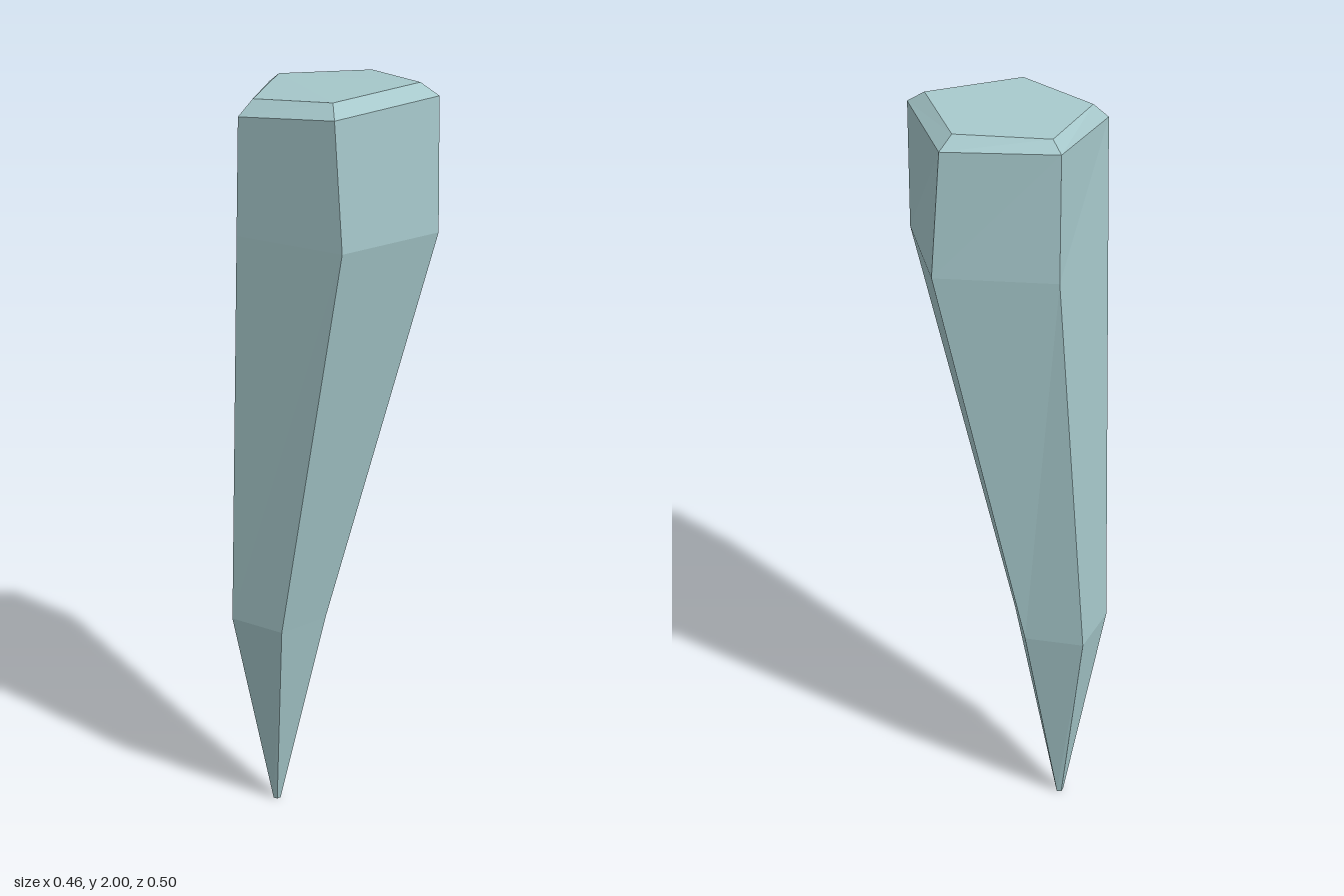
import * as THREE from 'three';

// Five-sided cross-sections, bottom to top; corners run left, front, front right, back right, back left
const tip = [[-0.12, 0, 0.09], [-0.113, 0, 0.1], [-0.102, 0, 0.096], [-0.102, 0, 0.084], [-0.113, 0, 0.08]];
const taper = [[-0.233, 0.575, 0.08], [-0.14, 0.575, 0.21], [0.01, 0.575, 0.163], [0.01, 0.575, 0.015], [-0.13, 0.575, -0.035]];
const shoulder = [[-0.233, 1.64, -0.005], [-0.055, 1.64, 0.239], [0.232, 1.64, 0.148], [0.232, 1.64, -0.157], [-0.057, 1.64, -0.25]];
const rim = [[-0.225, 1.957, 0], [-0.03, 1.935, 0.248], [0.22, 1.955, 0.162], [0.22, 1.97, -0.162], [-0.068, 1.955, -0.23]];
const crown = [[-0.187, 1.982, 0], [-0.025, 1.973, 0.207], [0.182, 1.987, 0.135], [0.182, 2, -0.135], [-0.057, 1.987, -0.19]];

// Joins consecutive rings with quads and optionally closes the ends
function loft(rings, capBottom, capTop) {
  const n = rings[0].length;
  const index = [];
  for (let r = 0; r < rings.length - 1; r++) {
    for (let i = 0; i < n; i++) {
      const a = r * n + i, b = r * n + (i + 1) % n;
      index.push(a, b, b + n, a, b + n, a + n);
    }
  }
  const top = (rings.length - 1) * n;
  for (let i = 1; i < n - 1; i++) {
    if (capBottom) index.push(0, i + 1, i);
    if (capTop) index.push(top, top + i, top + i + 1);
  }
  const geometry = new THREE.BufferGeometry();
  geometry.setAttribute('position', new THREE.Float32BufferAttribute(rings.flat(2), 3));
  geometry.setIndex(index);
  const faceted = geometry.toNonIndexed();
  faceted.computeVertexNormals();
  return faceted;
}

export function createModel() {
  const group = new THREE.Group();
  group.name = 'crystalSpike';
  const material = new THREE.MeshStandardMaterial({ color: 0xa6c8cb, flatShading: true });

  const add = (name, geometry) => {
    const mesh = new THREE.Mesh(geometry, material);
    mesh.name = name;
    group.add(mesh);
  };

  // Tapering shaft down to the point
  add('shaft', loft([tip, taper, shoulder, rim], true, false));
  // Bevelled, slightly tilted top
  add('bevelledTop', loft([rim, crown], false, true));

  return group;
}
